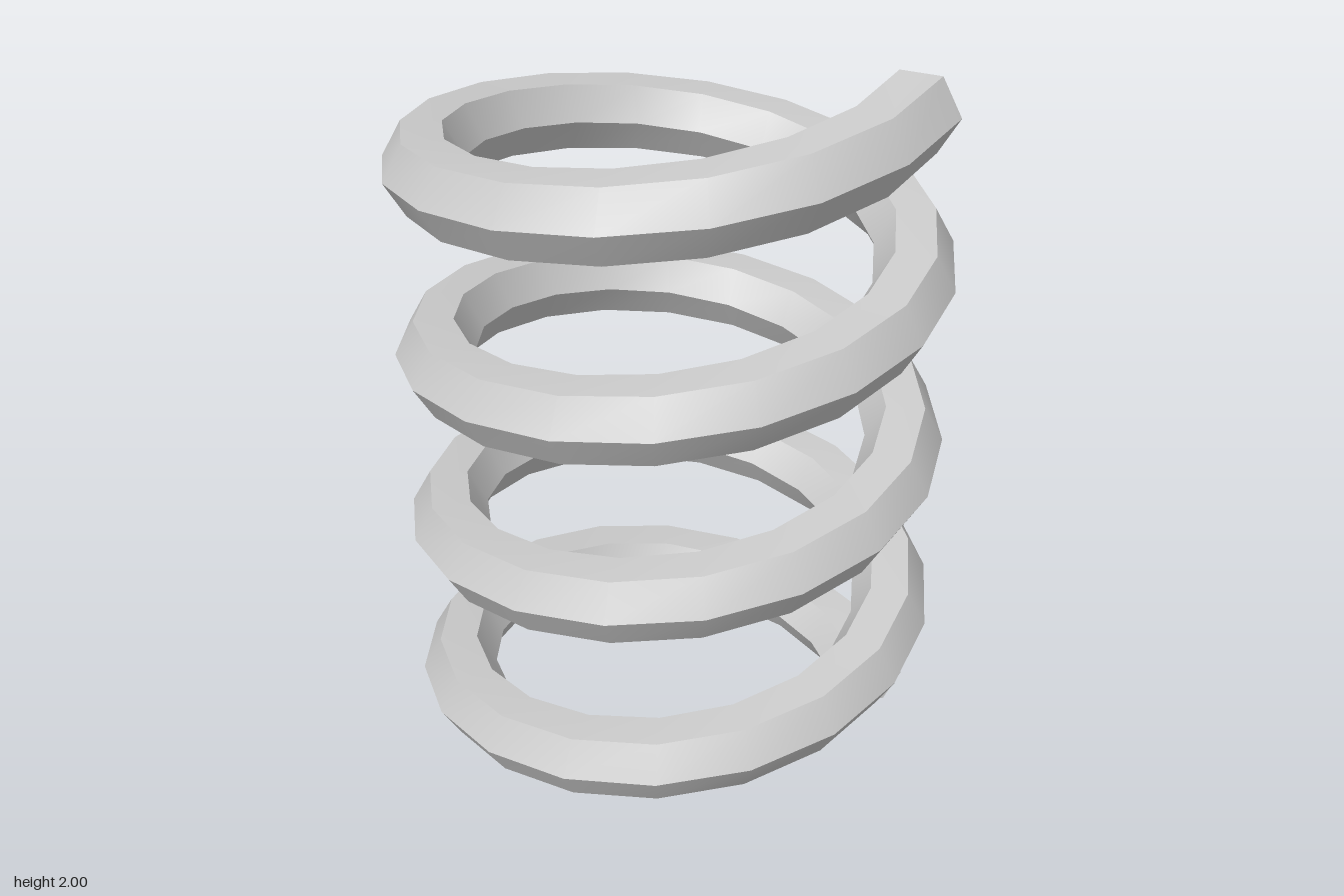
import * as THREE from 'three';
import { toCreasedNormals } from 'three/addons/utils/BufferGeometryUtils.js';

const SEGMENTS = 72;          // steps along the wire
const STEPS_PER_TURN = 18.5;
const SIDES = 6;              // hexagonal wire
const COIL_RADIUS = 0.569;
const HALF_WIDTH = 0.095;     // wire section, radial
const HALF_HEIGHT = 0.0845;   // wire section, vertical
const HEIGHT = 2;

function coilGeometry() {
  const positions = [];
  const indices = [];
  const addPoint = (angle, radius, y) =>
    positions.push(radius * Math.cos(angle), y, -radius * Math.sin(angle)) / 3 - 1;
  const wireAngle = (i) => (i / STEPS_PER_TURN) * Math.PI * 2;
  const wireY = (i) => HALF_HEIGHT + (HEIGHT - 2 * HALF_HEIGHT) * (i / SEGMENTS);

  // Upright hexagon sections swept up the helix
  for (let i = 0; i <= SEGMENTS; i++) {
    for (let j = 0; j < SIDES; j++) {
      const b = (j / SIDES) * Math.PI * 2;
      addPoint(
        wireAngle(i),
        COIL_RADIUS + HALF_WIDTH * Math.cos(b),
        wireY(i) + (HALF_HEIGHT * Math.sin(b)) / Math.sin(Math.PI / 3)
      );
    }
  }

  // Side faces
  for (let i = 0; i < SEGMENTS; i++) {
    for (let j = 0; j < SIDES; j++) {
      const k = (j + 1) % SIDES;
      const a = i * SIDES, n = a + SIDES;
      indices.push(a + j, n + j, n + k, a + j, n + k, a + k);
    }
  }

  // Flat caps at the two wire ends
  const first = addPoint(wireAngle(0), COIL_RADIUS, wireY(0));
  const last = addPoint(wireAngle(SEGMENTS), COIL_RADIUS, wireY(SEGMENTS));
  const end = SEGMENTS * SIDES;
  for (let j = 0; j < SIDES; j++) {
    const k = (j + 1) % SIDES;
    indices.push(first, j, k, last, end + k, end + j);
  }

  const geometry = new THREE.BufferGeometry();
  geometry.setAttribute('position', new THREE.Float32BufferAttribute(positions, 3));
  geometry.setIndex(indices);
  // Smooth along the wire, sharp on the hexagon edges
  return toCreasedNormals(geometry, THREE.MathUtils.degToRad(38));
}

export function createModel() {
  const group = new THREE.Group();
  group.name = 'coilSpring';
  const coil = new THREE.Mesh(
    coilGeometry(),
    new THREE.MeshStandardMaterial({ color: 0xcccccc })
  );
  coil.name = 'springWire';
  group.add(coil);
  return group;
}
